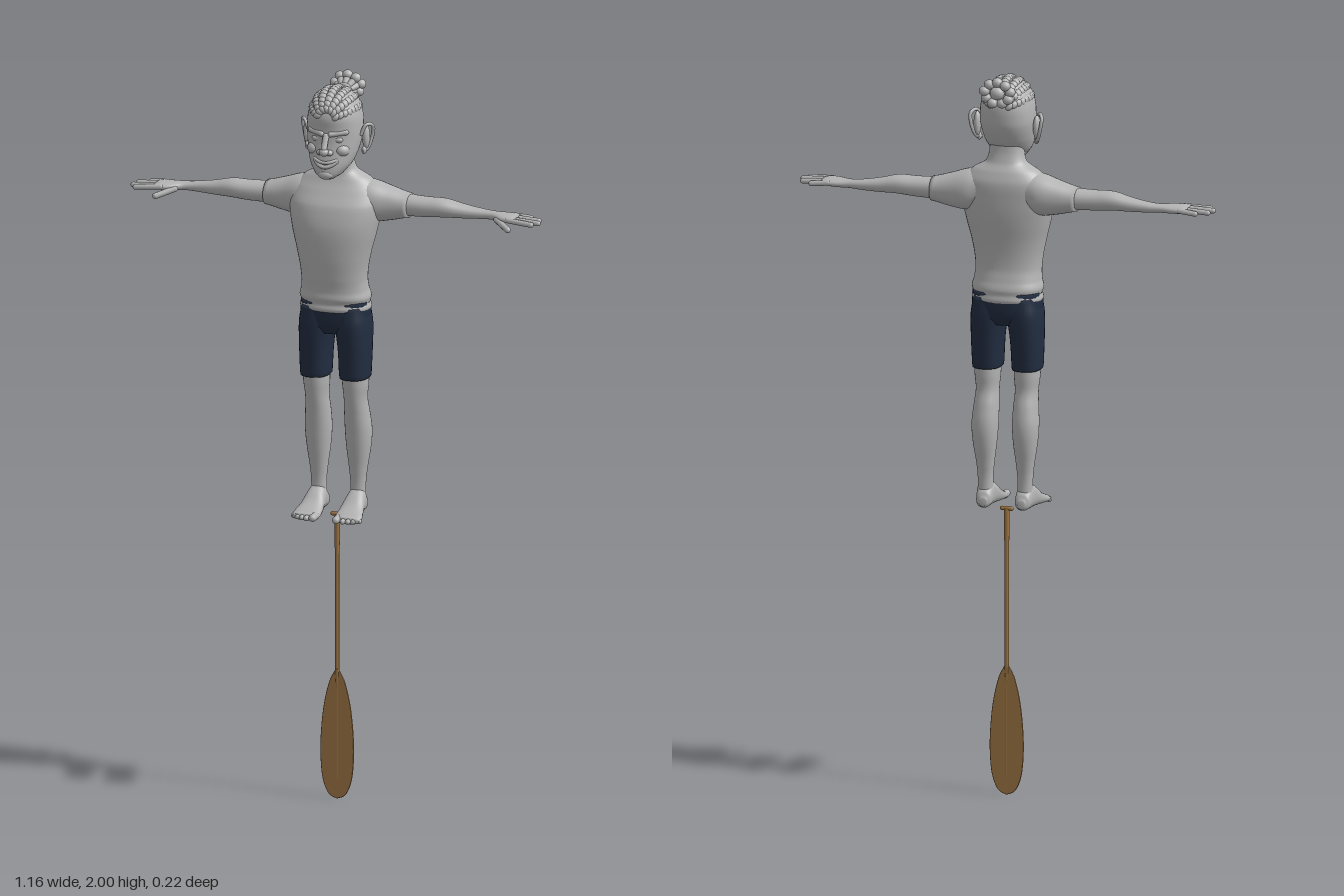
import * as THREE from 'three';
import { mergeGeometries } from 'three/addons/utils/BufferGeometryUtils.js';

const V = (x, y, z) => new THREE.Vector3(x, y, z);

// Catmull-Rom value between q and r
const blend = (p, q, r, t, u) =>
  q + 0.5 * u * (r - p + u * (2 * p - 5 * q + 4 * r - t + u * (3 * (q - r) + t - p)));

// Smooth closed body through cross-sections [s, a0, a1, b0, b1].
// axis y: a = z, b = x; axis x: a = y, b = z; axis z: a = x, b = y.
function loft(axis, rows, power = 2.2, seg = 28, sub = 5) {
  const rings = [];
  for (let i = 0; i < rows.length - 1; i++) {
    const [p, q, r, t] = [i - 1, i, i + 1, i + 2].map(k => rows[Math.min(Math.max(k, 0), rows.length - 1)]);
    for (let k = 0; k < sub; k++) {
      const u = k / sub;
      rings.push(q.map((v, c) => (c === 0 ? v + (r[0] - v) * u : blend(p[c], v, r[c], t[c], u))));
    }
  }
  rings.push(rows[rows.length - 1]);
  const cap = ([s, a, A, b, B]) => [s, (a + A) / 2, (a + A) / 2, (b + B) / 2, (b + B) / 2];
  const all = [cap(rings[0]), ...rings, cap(rings[rings.length - 1])];
  const pos = [], index = [];
  const bend = v => Math.sign(v) * Math.pow(Math.abs(v), 2 / power);
  all.forEach(([s, a0, a1, b0, b1], j) => {
    for (let i = 0; i < seg; i++) {
      const g = i / seg * Math.PI * 2;
      const a = (a0 + a1) / 2 + (a1 - a0) / 2 * bend(Math.cos(g));
      const b = (b0 + b1) / 2 + (b1 - b0) / 2 * bend(Math.sin(g));
      pos.push(...(axis === 'y' ? [b, s, a] : axis === 'x' ? [s, a, b] : [a, b, s]));
      if (j < all.length - 1) {
        const n = (i + 1) % seg, k = j * seg, m = k + seg;
        index.push(k + i, k + n, m + n, k + i, m + n, m + i);
      }
    }
  });
  const geo = new THREE.BufferGeometry();
  geo.setAttribute('position', new THREE.Float32BufferAttribute(pos, 3));
  geo.setIndex(index);
  geo.computeVertexNormals();
  return geo;
}

// Rounded rod between two points
function rod(p, q, r) {
  const d = q.clone().sub(p);
  return new THREE.CapsuleGeometry(r, d.length(), 5, 10)
    .applyQuaternion(new THREE.Quaternion().setFromUnitVectors(V(0, 1, 0), d.clone().normalize()))
    .translate((p.x + q.x) / 2, (p.y + q.y) / 2, (p.z + q.z) / 2);
}

const ball = (x, y, z, rx, ry, rz) => new THREE.SphereGeometry(1, 16, 12).scale(rx, ry, rz).translate(x, y, z);

function mirrored(geo) {
  const g = geo.clone().scale(-1, 1, 1);
  const ix = g.index.array;
  for (let i = 0; i < ix.length; i += 3) [ix[i], ix[i + 1]] = [ix[i + 1], ix[i]];
  return g;
}

export function createModel() {
  const model = new THREE.Group();
  const paint = (name, color) => {
    const material = new THREE.MeshStandardMaterial({ color });
    material.name = name;
    return material;
  };
  const grey = paint('body grey', 0xb4b4b4);
  const navy = paint('shorts navy', 0x222d40);
  const wood = paint('paddle wood', 0x9c7443);
  const add = (name, geo, mat = grey) => {
    const mesh = new THREE.Mesh(geo, mat);
    mesh.name = name;
    model.add(mesh);
  };
  const pair = (name, geo, mat) => {
    add('left' + name, geo, mat);
    add('right' + name, mirrored(geo), mat);
  };

  // Torso with folded hem, and neck
  add('torso', loft('y', [
    [1.362, -.062, .064, -.09, .09], [1.375, -.069, .073, -.097, .097], [1.39, -.067, .071, -.094, .094],
    [1.405, -.068, .076, -.097, .097], [1.425, -.062, .075, -.092, .092], [1.46, -.055, .08, -.09, .09],
    [1.52, -.058, .087, -.099, .099], [1.6, -.07, .089, -.118, .118], [1.66, -.074, .075, -.127, .127],
    [1.7, -.073, .05, -.12, .12], [1.73, -.062, .033, -.09, .09], [1.75, -.05, .028, -.056, .056],
    [1.78, -.042, .03, -.047, .047], [1.82, -.04, .03, -.045, .045]], 2.3, 40));

  // Arms, sleeves and hands
  pair('Sleeve', loft('x', [
    [.06, 1.63, 1.725, -.065, .03], [.1, 1.612, 1.724, -.072, .037], [.15, 1.618, 1.709, -.066, .026],
    [.202, 1.629, 1.695, -.059, .018]]));
  pair('Arm', loft('x', [
    [.18, 1.634, 1.692, -.055, .013], [.25, 1.636, 1.69, -.051, .015], [.3, 1.64, 1.69, -.05, .014],
    [.35, 1.641, 1.679, -.047, .004], [.4, 1.643, 1.671, -.043, -.005], [.435, 1.645, 1.668, -.04, -.003],
    [.465, 1.644, 1.668, -.043, .015], [.495, 1.646, 1.667, -.045, .024], [.51, 1.65, 1.664, -.043, .022]]));
  const fingers = [[-.038, -.041, .536], [-.019, -.021, .565], [.001, .005, .572], [.017, .025, .559]]
    .map(([z0, z1, x]) => rod(V(.49, 1.657, z0), V(x, 1.653, z1), .0075));
  fingers.push(rod(V(.455, 1.652, .005), V(.498, 1.637, .038), .0085));
  pair('Fingers', mergeGeometries(fingers));

  // Shorts
  add('shortsWaist', loft('y', [[1.305, -.05, .052, -.05, .05], [1.325, -.062, .064, -.085, .085],
    [1.35, -.066, .068, -.095, .095], [1.395, -.066, .07, -.094, .094]], 2.5), navy);
  pair('ShortsLeg', loft('y', [[1.18, -.05, .055, .016, .094], [1.19, -.051, .057, .015, .095],
    [1.26, -.058, .062, .012, .097], [1.33, -.064, .067, .004, .097], [1.38, -.06, .064, 0, .09]], 2.5), navy);

  // Legs, feet and toes
  pair('Leg', loft('y', [
    [.81, -.042, .004, .034, .076], [.87, -.04, .001, .035, .076], [.91, -.044, .004, .032, .079],
    [.98, -.057, .014, .024, .089], [1.03, -.06, .021, .021, .092], [1.08, -.052, .029, .022, .088],
    [1.12, -.042, .037, .024, .085], [1.16, -.044, .044, .021, .089], [1.22, -.045, .05, .02, .09]]));
  pair('Foot', loft('z', [
    [-.054, .043, .064, .803, .825], [-.045, .034, .074, .797, .842], [-.015, .031, .08, .795, .868],
    [.01, .028, .084, .795, .858], [.04, .023, .09, .793, .834], [.072, .021, .097, .792, .818],
    [.09, .025, .094, .793, .81]], 2.3));
  const toes = [0, 1, 2, 3, 4].map(i => {
    const r = i ? .0075 : .0105, x = i ? .037 + i * .0135 : .032;
    return rod(V(x, .793 + r, .078), V(x + .001, .793 + r, .098 - i * i * .0012), r);
  });
  pair('Toes', mergeGeometries(toes));

  // Head and face
  add('head', loft('y', [
    [1.743, .045, .085, -.018, .018], [1.755, .01, .096, -.036, .036], [1.78, -.025, .095, -.055, .055],
    [1.81, -.05, .09, -.066, .066], [1.85, -.069, .084, -.073, .073], [1.88, -.074, .084, -.074, .074],
    [1.91, -.074, .085, -.071, .071], [1.94, -.066, .074, -.062, .062], [1.962, -.045, .053, -.045, .045],
    [1.975, -.015, .025, -.018, .018]], 2.2, 36));
  add('nose', mergeGeometries([
    rod(V(0, 1.862, .083), V(0, 1.83, .1), .0085), ball(0, 1.822, .1, .013, .011, .013),
    ball(.013, 1.819, .092, .01, .008, .01), ball(-.013, 1.819, .092, .01, .008, .01)]));
  const smile = (y, dip, r) => new THREE.TubeGeometry(new THREE.QuadraticBezierCurve3(
    V(-.032, y, .082), V(0, y - dip, .113), V(.032, y, .082)), 16, r, 8);
  add('lips', mergeGeometries([smile(1.799, .014, .0048), smile(1.796, .032, .0055)]));
  add('chin', ball(0, 1.757, .086, .022, .014, .014));
  pair('Brow', rod(V(.013, 1.868, .083), V(.05, 1.872, .064), .0075));
  pair('Eye', ball(.03, 1.852, .072, .014, .009, .009));
  pair('Cheek', ball(.038, 1.822, .062, .021, .018, .022));
  const rim = new THREE.TubeGeometry(new THREE.CatmullRomCurve3([
    V(.073, 1.853, .012), V(.087, 1.882, .006), V(.099, 1.876, -.012), V(.096, 1.845, -.017),
    V(.085, 1.812, -.006), V(.075, 1.808, .01)]), 24, .005, 8);
  pair('Ear', mergeGeometries([rim, ball(.083, 1.846, -.004, .01, .034, .015), ball(.08, 1.81, .003, .007, .011, .008)]));

  // Braided rows running from the forehead to the crown
  const beads = [];
  for (let row = -3; row <= 3; row++) {
    for (let k = 0; k < 13; k++) {
      const phi = row * .42, th = Math.PI * (.14 + .72 * k / 12);
      const n = V(Math.sin(th) * Math.sin(phi), Math.sin(th) * Math.cos(phi), Math.cos(th));
      const t = V(Math.cos(th) * Math.sin(phi), Math.cos(th) * Math.cos(phi), -Math.sin(th)).applyAxisAngle(n, .5);
      const w = .007 + .0055 * Math.sin(th);
      const m = new THREE.Matrix4().makeBasis(n.clone().cross(t), n, t)
        .setPosition(n.x * .062, 1.907 + n.y * .067, .005 + n.z * .078);
      beads.push(new THREE.SphereGeometry(1, 10, 8).scale(w, .0105, .0135).applyMatrix4(m));
    }
  }
  add('braidedHair', mergeGeometries(beads));

  // Tied bun of looped braids
  const knots = [ball(0, 1.957, -.095, .02, .018, .016)];
  for (let i = 0; i < 9; i++) {
    const a = Math.PI / 2 + i / 9 * Math.PI * 2;
    const end = V(Math.cos(a) * .036, 1.957 + Math.sin(a) * .029, -.092 - (i % 2) * .005);
    knots.push(rod(V(Math.cos(a) * .01, 1.95 + Math.sin(a) * .008, -.068), end, .0095));
    knots.push(ball(end.x, end.y, end.z, .0145, .0135, .014));
  }
  add('bun', mergeGeometries(knots));
  add('hairTie', new THREE.TorusGeometry(.016, .006, 8, 20).translate(0, 1.949, -.066));

  // Paddle: T grip, handle, shaft and leaf-shaped blade
  const z = -.008;
  add('paddleGrip', rod(V(-.013, .79, z), V(.013, .79, z), .006), wood);
  add('paddleHandle', new THREE.CylinderGeometry(.0075, .0065, .11, 16).translate(0, .735, z), wood);
  add('paddleShaft', new THREE.CylinderGeometry(.0055, .0055, .43, 16).translate(0, .565, z), wood);
  add('paddleSocket', new THREE.CylinderGeometry(.0065, .002, .09, 16).translate(0, .315, z), wood);
  const side = [[.006, .35], [.02, .32], [.034, .26], [.042, .19], [.044, .12], [.038, .055], [.022, .015], [0, .003]];
  const outline = new THREE.Shape();
  outline.moveTo(...side[0]);
  outline.splineThru(side.slice(1).map(([x, y]) => new THREE.Vector2(x, y)));
  outline.splineThru(side.slice(0, -1).reverse().map(([x, y]) => new THREE.Vector2(-x, y)));
  add('paddleBlade', new THREE.ExtrudeGeometry(outline, {
    depth: .003, bevelEnabled: true, bevelThickness: .002, bevelSize: .003, bevelSegments: 2, curveSegments: 6,
  }).translate(0, 0, z - .0015), wood);
  add('bladeSpine', rod(V(0, .05, z), V(0, .3, z), .0042), wood);

  return model;
}
